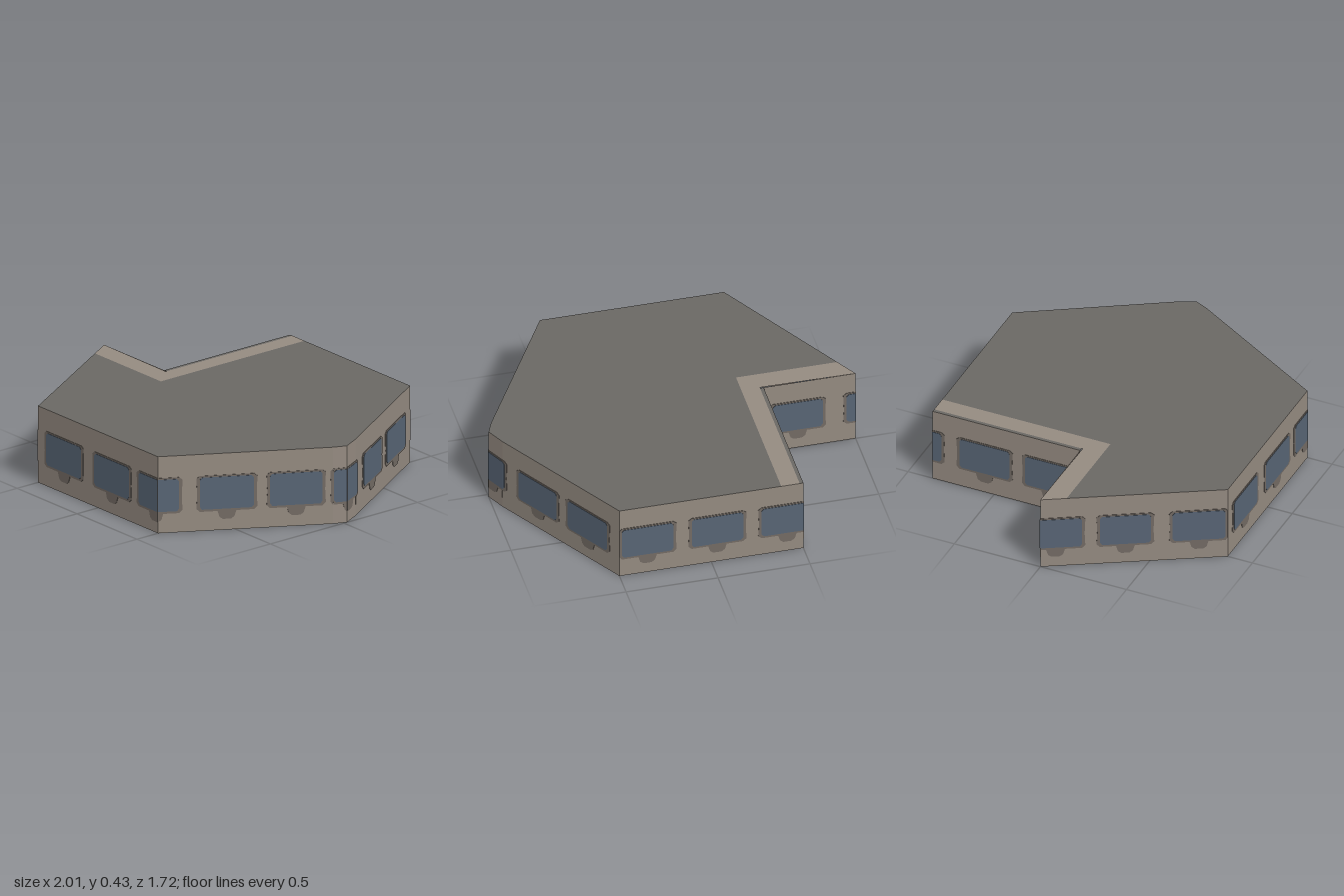
import * as THREE from 'three';

const HEIGHT = 0.43;

// Floor plan corners as [x, z], in order round the building
const PLAN = [
  [-1, 0], [-0.5, 0.857], [0.5, 0.857], [0.97, 0.05], [1, -0.02],
  [0.95, -0.12], [0.5, -0.857], [-0.5, -0.857], [-0.5, 0],
];

// Windows as [distance along the walls, half width]; some bend round corners
const WINDOWS = [
  [0.08, 0.14], [0.45, 0.135], [0.84, 0.14], [1.21, 0.145], [1.61, 0.145],
  [1.97, 0.135], [2.36, 0.145], [2.73, 0.14], [3.03, 0.1], [3.376, 0.14],
  [3.745, 0.145], [4.13, 0.14], [4.51, 0.14], [4.89, 0.14], [5.28, 0.145],
  [5.66, 0.145], [6.02, 0.135], [6.425, 0.14],
];

// Half outlines (offset from window centre, height); mirrored to close
const glassHalf = (w) => [[w - 0.012, 0.12], [w, 0.135], [w, 0.287], [w - 0.012, 0.3]];
const frameHalf = (w) => [
  [0.022, 0.062], [0.04, 0.075], [0.05, 0.108], [w, 0.108], [w + 0.018, 0.125],
  [w + 0.014, 0.2], [w + 0.018, 0.295], [w, 0.309],
];

export function createModel() {
  const model = new THREE.Group();
  model.name = 'building';
  const material = (name, color, side = THREE.FrontSide) => {
    const m = new THREE.MeshStandardMaterial({ color, side });
    m.name = name;
    return m;
  };
  const wallMat = material('stone', 0x958b81, THREE.DoubleSide);
  const roofMat = material('dark roof', 0x6a6864, THREE.DoubleSide);
  const frameMat = material('window frame', 0x736b64);
  const glassMat = material('blue glass', 0x586575);

  const add = (parent, name, geometry, mat) => {
    const mesh = new THREE.Mesh(geometry, mat);
    mesh.name = name;
    parent.add(mesh);
    return mesh;
  };

  // Thin plate through the wall, cut off at the wall's ends
  const addPlate = (wall, name, half, centre, length, depth, mat) => {
    const outline = [...half, ...half.map(([x, y]) => [-x, y]).reverse()];
    const points = [];
    for (const [x, y] of outline) {
      const p = new THREE.Vector2(THREE.MathUtils.clamp(centre + x, 0, length), y);
      if (!points.length || p.distanceTo(points[points.length - 1]) > 1e-5) points.push(p);
    }
    const xs = points.map((p) => p.x);
    if (Math.max(...xs) - Math.min(...xs) < 0.008) return;
    const geometry = new THREE.ExtrudeGeometry(new THREE.Shape(points), { depth, bevelEnabled: false });
    geometry.translate(0, 0, -depth / 2);
    add(wall, name, geometry, mat);
  };

  // Walls with their windows
  let start = 0;
  PLAN.forEach(([x, z], i) => {
    const [nx, nz] = PLAN[(i + 1) % PLAN.length];
    const length = Math.hypot(nx - x, nz - z);
    const wall = new THREE.Group();
    wall.name = `wallSection${i + 1}`;
    wall.position.set(x, 0, z);
    wall.rotation.y = Math.atan2(z - nz, nx - x);
    add(wall, 'wall', new THREE.PlaneGeometry(length, HEIGHT).translate(length / 2, HEIGHT / 2, 0), wallMat);
    for (const [distance, w] of WINDOWS) {
      const centre = distance - start;
      if (centre + w + 0.02 < 0 || centre - w - 0.02 > length) continue;
      addPlate(wall, 'windowFrame', frameHalf(w), centre, length, 0.005, frameMat);
      addPlate(wall, 'windowGlass', glassHalf(w), centre, length, 0.009, glassMat);
    }
    model.add(wall);
    start += length;
  });

  // Flat roof pieces from [x, z] outlines
  const addRoof = (name, outline, mat) => {
    const shape = new THREE.Shape(outline.map(([x, z]) => new THREE.Vector2(x, -z)));
    const mesh = add(model, name, new THREE.ShapeGeometry(shape), mat);
    mesh.rotation.x = -Math.PI / 2;
    mesh.position.y = HEIGHT;
  };
  addRoof('roof', [[-0.93, 0.12], ...PLAN.slice(1, 7), [-0.38, -0.857], [-0.38, 0.12]], roofMat);
  addRoof('roofBorder', [
    [-1, 0], [-0.93, 0.12], [-0.38, 0.12], [-0.38, -0.857], [-0.48, -0.857], [-0.48, 0.005],
  ], wallMat);
  addRoof('roofEdge', [[-0.5, 0], [-0.48, 0], [-0.48, -0.857], [-0.5, -0.857]], roofMat);

  return model;
}
